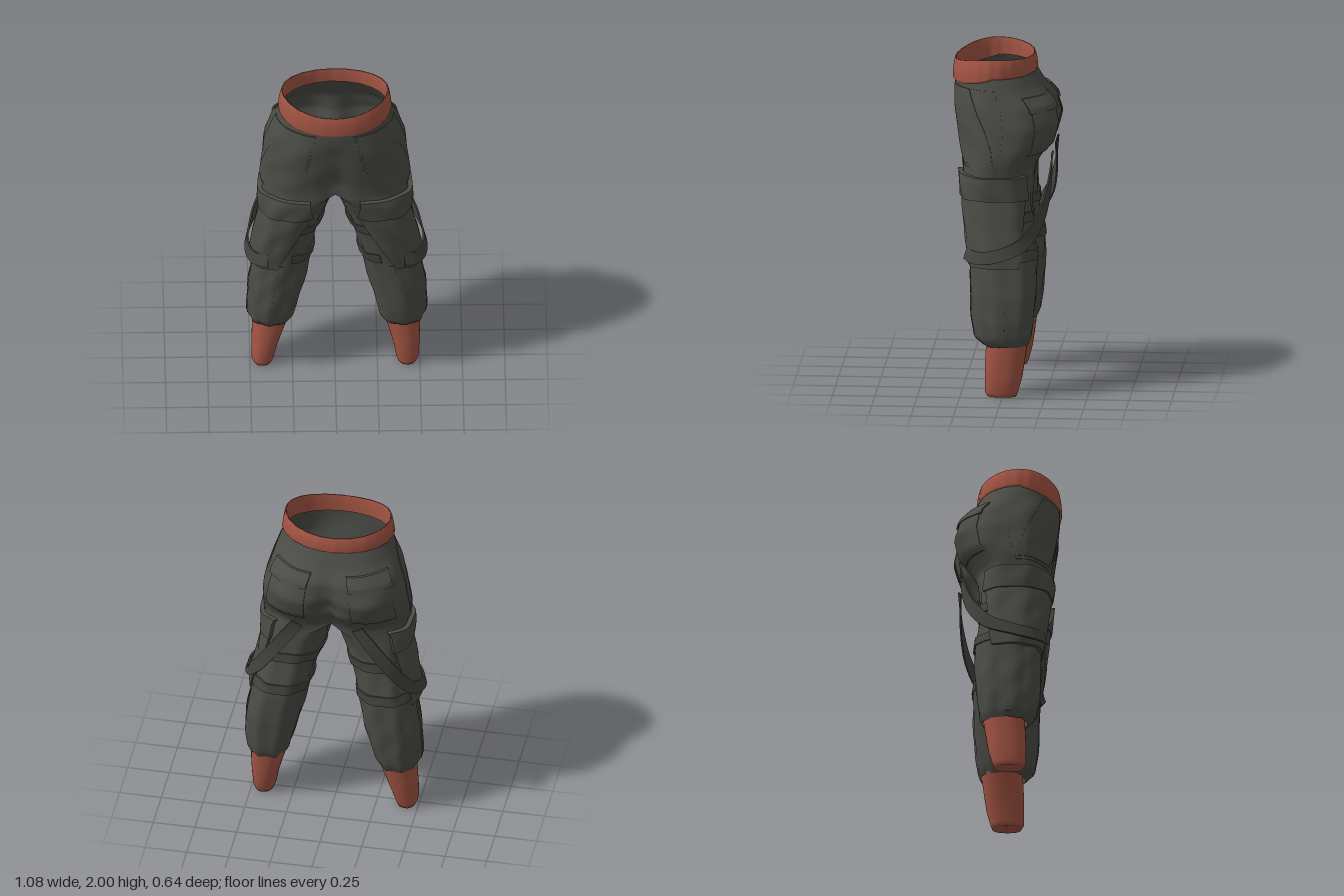
import * as THREE from 'three';
import { mergeGeometries, mergeVertices, toCreasedNormals } from 'three/addons/utils/BufferGeometryUtils.js';

const { lerp, clamp, smoothstep } = THREE.MathUtils;

const mat = (name, color) => {
  const m = new THREE.MeshStandardMaterial({ color, side: THREE.DoubleSide });
  m.name = name;
  return m;
};

// Cross-sections of one half: y, front/back x, inner x, outer x, front z, back z
const BODY = [
  [0.30, 0.39, 0.285, 0.495, 0.10, -0.14],
  [0.35, 0.39, 0.255, 0.52, 0.165, -0.165],
  [0.45, 0.38, 0.23, 0.525, 0.18, -0.18],
  [0.60, 0.36, 0.19, 0.518, 0.188, -0.195],
  [0.80, 0.325, 0.15, 0.487, 0.195, -0.195],
  [1.00, 0.29, 0.108, 0.44, 0.21, -0.17],
  [1.17, 0.24, 0.05, 0.428, 0.235, -0.16],
  [1.28, 0.15, 0.014, 0.43, 0.255, -0.165],
  [1.35, 0, 0, 0.435, 0.268, -0.185],
  [1.41, 0, 0, 0.437, 0.275, -0.225],
  [1.48, 0, 0, 0.432, 0.285, -0.288],
  [1.60, 0, 0, 0.418, 0.30, -0.32],
  [1.72, 0, 0, 0.385, 0.31, -0.29],
  [1.80, 0, 0, 0.352, 0.315, -0.225],
  [1.90, 0, 0, 0.315, 0.312, -0.163],
];
const CUFF = [
  [0.02, 0.43, 0.428, 0.432, 0.005, 0],
  [0.004, 0.43, 0.37, 0.48, 0.09, -0.08],
  [0.03, 0.43, 0.36, 0.492, 0.105, -0.09],
  [0.12, 0.415, 0.34, 0.495, 0.107, -0.115],
  [0.22, 0.40, 0.31, 0.495, 0.105, -0.13],
  [0.33, 0.385, 0.275, 0.492, 0.10, -0.145],
];
const CROTCH = 1.35;

function rowAt(y) {
  let i = 0;
  while (i < BODY.length - 2 && y > BODY[i + 1][0] + 1e-6) i++;
  const t = (y - BODY[i][0]) / (BODY[i + 1][0] - BODY[i][0]);
  return BODY[i].map((v, k) => lerp(v, BODY[i + 1][k], t));
}

// Angle 0 is the front, PI/2 the outer side, PI the back, beyond that the inner side
function ringPoint([y, xf, xi, xo, zf, zb], a, off) {
  const s = Math.sin(a), c = Math.cos(a);
  const e = 0.85 + 0.15 * smoothstep(y, 1.68, 1.85);
  const ps = Math.pow(Math.abs(s), e), pc = Math.sign(c) * Math.pow(Math.abs(c), e);
  let x = xf + (s >= 0 ? xo - xf : xf - xi) * ps * Math.sign(s);
  let z = (zf + zb) / 2 + pc * (zf - zb) / 2;
  // Groove along the centre seam
  const [mid, deep] = c < 0 ? [1.53, 0.08] : [1.42, 0.05];
  const depth = deep * Math.max(0, 1 - Math.abs(y - mid) / 0.33);
  z -= Math.sign(c) * depth * Math.exp(-((x / 0.065) ** 2)) * Math.min(1, Math.abs(pc) * 2);
  x = xf < 0.001 && s < 1e-6 ? 0 : x + s * off;
  return [x, y, z + c * off];
}

// Cloth folds, fading out under the waistband
const folds = (y, a) => (1 - smoothstep(y, 1.7, 1.85)) *
  (0.004 * Math.sin(5 * a + 9 * y) * Math.sin(21 * y + 2 * a) + 0.004 * Math.sin(9 * a + 2 * y));
const bodyPoint = (y, a, off = 0) => ringPoint(rowAt(y), a, off + folds(y, a));

// Both lower legs stand slightly towards +x
const lean = y => 0.012 * Math.sin(Math.PI * clamp((y - 0.02) / 1.0, 0, 1));

// Grid surface; side -1 mirrors it
function grid(nu, nv, fn, side = 1) {
  const pos = [], idx = [];
  for (let j = 0; j <= nv; j++)
    for (let i = 0; i <= nu; i++) {
      const p = fn(i, j);
      pos.push(p[0] * side + lean(p[1]), p[1], p[2]);
    }
  for (let j = 0; j < nv; j++)
    for (let i = 0; i < nu; i++) {
      const a = j * (nu + 1) + i, b = a + 1, c = b + nu + 1, d = c - 1;
      if (side > 0) idx.push(a, b, c, a, c, d);
      else idx.push(a, c, b, a, d, c);
    }
  const g = new THREE.BufferGeometry();
  g.setAttribute('position', new THREE.Float32BufferAttribute(pos, 3));
  g.setIndex(idx);
  return g;
}

function smooth(geos) {
  const g = mergeVertices(mergeGeometries(geos), 1e-4);
  g.computeVertexNormals();
  return g;
}

// Raised cloth panel lying on the body, with turned-in edges
function panel(side, y0, y1, start, end, d, bulge = 0) {
  const nu = 36, nv = 16, k = (i, n) => clamp((i - 1) / (n - 2), 0, 1);
  const g = grid(nu, nv, (i, j) => {
    const u = k(i, nu), v = k(j, nv);
    const edge = i === 0 || j === 0 || i === nu || j === nv;
    const swell = Math.sin(Math.PI * u) * Math.sin(Math.PI * (v * 0.9 + 0.1));
    return bodyPoint(lerp(y0, y1, v), lerp(start(v), end(v), u), edge ? 0.001 : d + bulge * swell);
  }, side);
  return toCreasedNormals(g, 0.7);
}

// Loose strap hanging from the seat round the outside of the pocket
function strapGeometry(side) {
  const curve = new THREE.CatmullRomCurve3([
    [0.18, 1.42, -0.275], [0.3, 1.24, -0.262], [0.41, 1.06, -0.215], [0.49, 0.93, -0.12],
    [0.525, 0.87, 0.02], [0.51, 0.85, 0.12], [0.47, 0.85, 0.18], [0.4, 0.86, 0.22],
  ].map(p => new THREE.Vector3(...p)));
  const n = 40, h = 0.038, t = 0.005;
  const corners = [[-h, t], [-h, -t], [h, -t], [h, t], [-h, t]];
  const g = grid(4, n, (i, j) => {
    const p = curve.getPoint(j / n), tan = curve.getTangent(j / n);
    const out = new THREE.Vector3(p.x - 0.28, 0.06, p.z - 0.02);
    out.addScaledVector(tan, -out.dot(tan)).normalize();
    const across = new THREE.Vector3().crossVectors(out, tan);
    return p.addScaledVector(across, corners[i][0]).addScaledVector(out, corners[i][1]).toArray();
  }, -side);
  return toCreasedNormals(g, 0.7);
}

export function createModel() {
  const model = new THREE.Group();
  model.name = 'cargoTrousers';
  const cloth = mat('charcoalCloth', 0x4b4c46);
  const webbing = mat('darkWebbing', 0x434440);
  const rib = mat('rustRibbing', 0xa35443);
  const add = (name, geo, m) => {
    const mesh = new THREE.Mesh(geo, m);
    mesh.name = name;
    model.add(mesh);
  };

  // Legs and seat as one continuous shell
  const shell = [];
  for (const s of [1, -1]) {
    shell.push(grid(72, 44, (i, j) =>
      bodyPoint(lerp(0.31, CROTCH, j / 44), -Math.PI + 2 * Math.PI * i / 72), s));
    shell.push(grid(36, 24, (i, j) =>
      bodyPoint(lerp(CROTCH, 1.9, j / 24), Math.PI * i / 36), s));
  }
  add('legsAndSeat', smooth(shell), cloth);

  // Elastic waistband: outer wall, rim and inner wall
  const levels = [[0, 0.325, 0.243], [0.1, 0.334, 0.25], [0.6, 0.327, 0.246], [1, 0.316, 0.237],
    [1, 0.308, 0.229], [0.5, 0.308, 0.229], [0.1, 0.308, 0.229]];
  add('waistband', smooth([grid(96, levels.length - 1, (i, j) => {
    const a = 2 * Math.PI * i / 96, s = Math.sin(a), c = Math.cos(a), [v, rx, rz] = levels[j];
    const low = 1.885 - 0.055 * Math.pow(Math.max(0, c), 0.7);
    const top = 2 - (c > 0 ? 0.045 : 0.018) * c * c;
    const r = 1 + 0.006 * Math.sin(22 * a) * (1 - 0.6 * Math.max(0, c));
    return [rx * s * r, lerp(low, top, v), 0.075 + rz * c * r];
  })]), rib);

  for (const s of [1, -1]) {
    const side = s > 0 ? 'left' : 'right';
    const part = (name, ...args) => add(side + name, panel(s, ...args), cloth);
    const at = v => () => v;

    // Ankle cuff with closed end
    add(side + 'Cuff', smooth([grid(40, CUFF.length - 1, (i, j) =>
      ringPoint(CUFF[j], -Math.PI + 2 * Math.PI * i / 40, 0), s)]), rib);

    // Thigh pocket, tapering downwards, with its flap
    part('CargoPocket', 0.785, 1.18, v => 0.1 - 0.6 * v, v => 2.0 + 0.45 * v, 0.018, 0.025);
    part('CargoFlap', 1.175, 1.315, v => -0.5 + 0.65 * v, v => 2.5 - 0.1 * v, 0.028, 0.004);

    // Hip pocket bag with a slanted opening
    part('HipPocketBag', 1.36, 1.82, v => 0.3 + 0.3 * (1 - v) ** 4, at(1.55), 0.004);
    part('HipPocketFront', 1.38, 1.82, v => 0.33 + 0.3 * (1 - v) ** 4, v => 1.5 - 0.55 * v, 0.008);

    // Seams down the lower leg
    part('SideSeam', 0.34, 0.8, at(1.5), at(1.62), 0.004);
    part('FrontCrease', 0.34, 0.8, at(-0.05), at(0.06), 0.004);

    // Seat pocket with flap
    part('SeatPocket', 1.44, 1.71, at(2.1), at(2.87), 0.006, 0.01);
    part('SeatFlap', 1.69, 1.775, at(2.05), at(2.88), 0.015);

    // Leg bands around the inside and back
    for (const [name, y] of [['UpperBand', 1.04], ['LowerBand', 0.82]])
      add(side + name, panel(s, y, y + 0.06, at(2.0), at(2 * Math.PI - 0.25), 0.01), webbing);

    add(side + 'Strap', strapGeometry(s), webbing);
  }
  return model;
}
